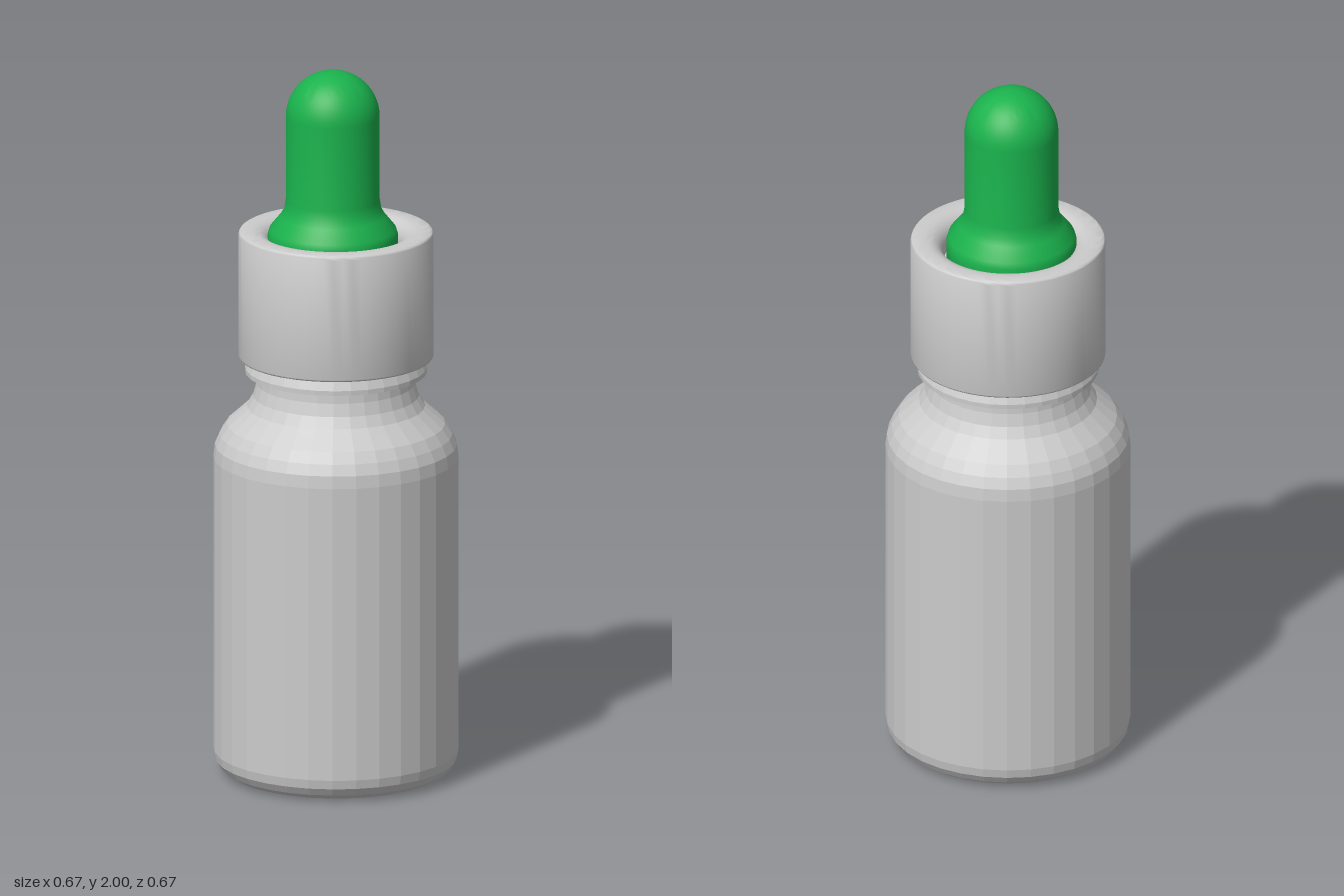
import * as THREE from 'three';
import { toCreasedNormals } from 'three/addons/utils/BufferGeometryUtils.js';

const material = (color, flatShading = false) =>
  new THREE.MeshStandardMaterial({ color, flatShading });

// Spins a profile of [radius, height] points; order runs bottom to top on the outside
function lathe(name, profile, segments, mat, phiStart = 0) {
  const points = profile.map(([r, y]) => new THREE.Vector2(r, y));
  let geometry = new THREE.LatheGeometry(points, segments, phiStart);
  if (!mat.flatShading) geometry = toCreasedNormals(geometry, 0.65);
  const mesh = new THREE.Mesh(geometry, mat);
  mesh.name = name;
  return mesh;
}

// Points on an arc around (cx, cy), angles in degrees
function arc(cx, cy, radius, from, to, steps) {
  return Array.from({ length: steps + 1 }, (_, i) => {
    const a = THREE.MathUtils.degToRad(from + (to - from) * i / steps);
    return [Math.max(0, cx + radius * Math.cos(a)), cy + radius * Math.sin(a)];
  });
}

export function createModel() {
  const group = new THREE.Group();
  group.name = 'dropperBottle';

  // Faceted bottle: recessed base, rounded foot, shoulder, neck and collar
  const bottle = lathe('bottle', [
    [0, 0.035], [0.215, 0.035], [0.225, 0.02], [0.245, 0.005],
    ...arc(0.27, 0.067, 0.067, -90, 0, 4),
    [0.337, 0.9], [0.333, 0.935], [0.32, 0.965], [0.3, 0.995], [0.27, 1.022],
    [0.245, 1.045], [0.228, 1.075], [0.218, 1.11], [0.215, 1.142],
    [0.25, 1.142], [0.25, 1.155], [0.238, 1.185], [0.205, 1.19],
    [0.205, 1.45], [0, 1.45],
  ], 32, material(0xcccccc, true), Math.PI / 32);

  // Smooth hollow cap with a rounded lip sinking into the central hole
  const cap = lathe('cap', [
    [0.235, 1.185], [0.262, 1.185],
    ...arc(0.262, 1.191, 0.006, -90, 0, 3),
    ...arc(0.256, 1.533, 0.012, 0, 90, 4),
    [0.235, 1.545],
    ...arc(0.228, 1.495, 0.05, 90, 180, 8),
    [0.178, 1.47], [0.235, 1.47], [0.235, 1.185],
  ], 64, material(0xcccccc));

  // Rubber squeeze bulb with a flared base, seated slightly off centre
  const bulb = lathe('bulb', [
    [0, 1.46], [0.165, 1.46], [0.178, 1.48], [0.179, 1.535], [0.174, 1.552],
    [0.145, 1.588], [0.134, 1.606], [0.129, 1.635],
    ...arc(0, 1.871, 0.129, 0, 90, 14),
  ], 64, material(0x1ab24d));
  bulb.position.set(-0.003, 0, 0.01);

  group.add(bottle, cap, bulb);
  return group;
}
